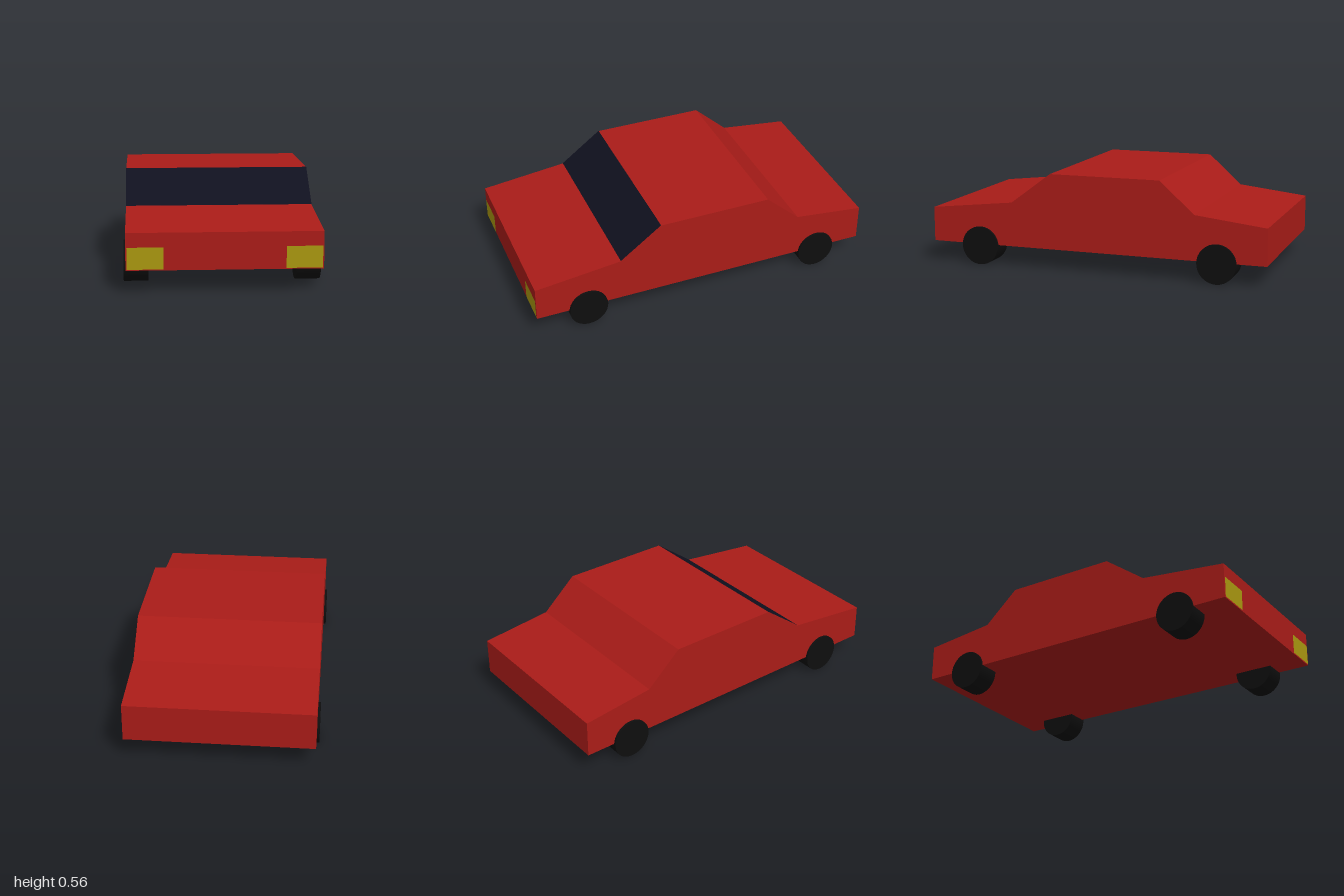
import * as THREE from 'three';

const paint = (color) => new THREE.MeshStandardMaterial({ color });

export function createModel() {
  const car = new THREE.Group();
  car.name = 'car';
  const add = (name, geometry, material, x, y, z) => {
    const mesh = new THREE.Mesh(geometry, material);
    mesh.name = name;
    mesh.position.set(x, y, z);
    car.add(mesh);
    return mesh;
  };

  // Body: side profile (z, y) extruded across the width
  const width = 1.04;
  const cowl = new THREE.Vector2(0.5, 0.377);
  const roofFront = new THREE.Vector2(0.26, 0.556);
  const profile = [
    new THREE.Vector2(-1, 0.12), new THREE.Vector2(1, 0.12), new THREE.Vector2(1, 0.32),
    cowl, roofFront,
    new THREE.Vector2(-0.39, 0.556), new THREE.Vector2(-0.59, 0.377), new THREE.Vector2(-1, 0.33),
  ];
  const body = new THREE.ExtrudeGeometry(new THREE.Shape(profile), { depth: width, bevelEnabled: false });
  body.translate(0, 0, -width / 2).rotateY(-Math.PI / 2);
  add('body', body, paint(0xaa1c18), 0, 0, 0);

  // Windshield: panel lying just above the sloped front of the cabin
  const run = cowl.x - roofFront.x, rise = roofFront.y - cowl.y;
  const slope = Math.hypot(run, rise), lift = 0.002;
  const glass = add('windshield', new THREE.PlaneGeometry(width, slope), paint(0x10111f),
    0, (cowl.y + roofFront.y) / 2 + lift * run / slope, (cowl.x + roofFront.x) / 2 + lift * rise / slope);
  glass.rotation.x = -Math.atan2(run, rise);

  // Headlights and wheels, mirrored left and right
  const lamp = new THREE.PlaneGeometry(0.192, 0.117);
  const lampPaint = paint(0xaa9810);
  const wheel = new THREE.CylinderGeometry(0.112, 0.112, 0.133, 32).rotateZ(Math.PI / 2);
  const rubber = paint(0x0e0e0e);
  for (const [side, s] of [['left', 1], ['right', -1]]) {
    add(side + 'Headlight', lamp, lampPaint, s * 0.418, 0.184, 1.002);
    add(side + 'FrontWheel', wheel, rubber, s * 0.467, 0.112, 0.7);
    add(side + 'RearWheel', wheel, rubber, s * 0.467, 0.112, -0.72);
  }
  return car;
}
